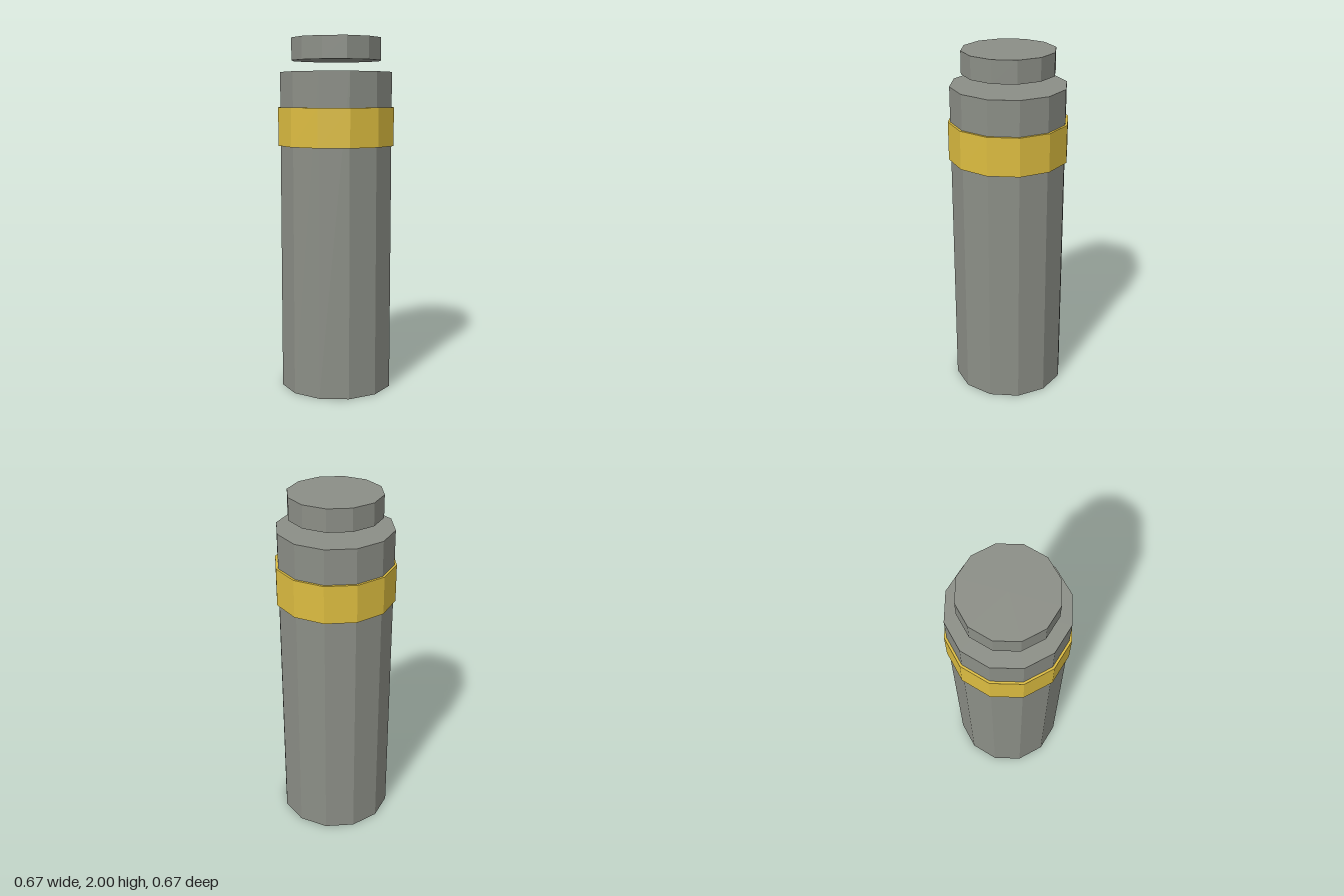
import * as THREE from 'three';

export function createModel() {
  const model = new THREE.Group();
  const grey = new THREE.MeshStandardMaterial({ color: 0x8b8e86 });
  grey.name = 'grey metal';
  const gold = new THREE.MeshStandardMaterial({ color: 0xdcbc40 });
  gold.name = 'gold';

  // Upright twelve-sided drum between two heights
  const drum = (name, radius, bottom, top, material) => {
    const geometry = new THREE.CylinderGeometry(radius, radius, top - bottom, 12).toNonIndexed();
    geometry.computeVertexNormals(); // flat facets
    const mesh = new THREE.Mesh(geometry, material);
    mesh.name = name;
    mesh.position.y = (bottom + top) / 2;
    model.add(mesh);
  };

  drum('body', 0.322, 0, 1.81, grey);
  drum('band', 0.335, 1.4, 1.615, gold);
  drum('floatingCap', 0.258, 1.875, 2, grey);

  return model;
}
